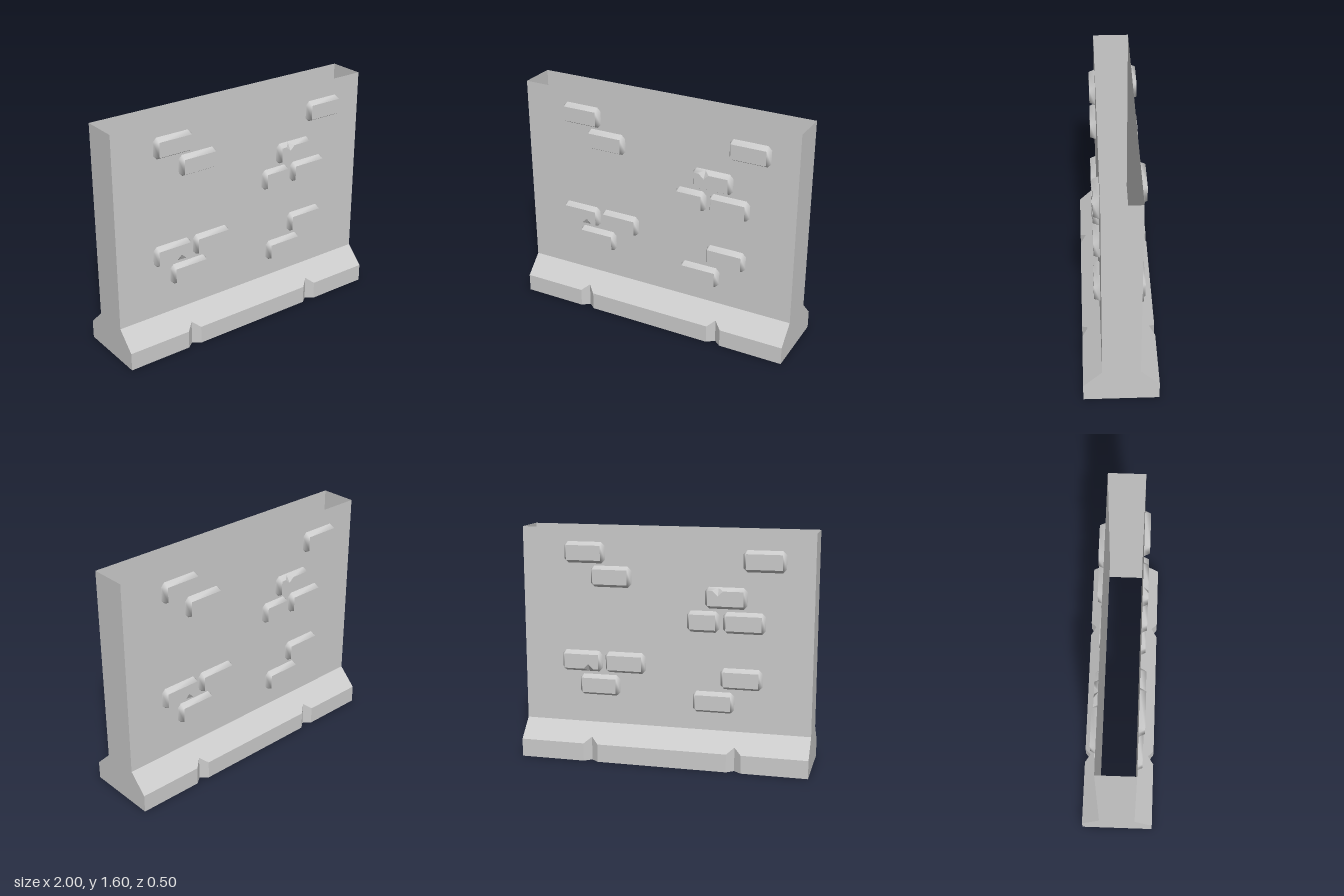
import * as THREE from 'three';

const WALL_Z = 0.125, FOOT_Z = 0.25, FOOT_Y = 0.125, SHOULDER_Y = 0.25, TOP_Y = 1.6;
const GROOVE = 0.04; // depth of the V grooves in the foot
const BEVEL = 0.022, RISE = 0.04; // brick bevel inset and height

const smooth = new THREE.MeshStandardMaterial({ color: 0xcccccc, side: THREE.DoubleSide });
const flat = new THREE.MeshStandardMaterial({ color: 0xcccccc, side: THREE.DoubleSide, flatShading: true });

function mesh(name, geometry, material) {
  const m = new THREE.Mesh(geometry, material);
  m.name = name;
  return m;
}

// Indexed geometry from points and convex polygons (fanned into triangles)
function fromPolygons(points, polygons) {
  const index = [];
  for (const p of polygons)
    for (let i = 1; i < p.length - 1; i++) index.push(p[0], p[i], p[i + 1]);
  const g = new THREE.BufferGeometry();
  g.setAttribute('position', new THREE.Float32BufferAttribute(points.flat(), 3));
  g.setIndex(index);
  g.computeVertexNormals();
  return g;
}

// Wall panel with its sloped foot: one column per x, pulled in at each groove
function panelGeometry() {
  const columns = [-1, -0.55, -0.5, -0.45, 0.45, 0.5, 0.55, 1];
  const points = [], polygons = [];
  columns.forEach((x, i) => {
    const d = Math.abs(x) === 0.5 ? GROOVE : 0;
    points.push([x, 0, FOOT_Z - d], [x, FOOT_Y + d, FOOT_Z - d], [x, SHOULDER_Y, WALL_Z], [x, TOP_Y, WALL_Z]);
    if (i === 0) return;
    for (let r = 0; r < 3; r++) {
      const a = (i - 1) * 4 + r, b = i * 4 + r;
      polygons.push([a, b, b + 1, a + 1]);
    }
  });
  return fromPolygons(points, polygons).toNonIndexed();
}

// End cap following the wall's cross-section
function endGeometry() {
  const half = [[FOOT_Z, 0], [FOOT_Z, FOOT_Y], [WALL_Z, SHOULDER_Y], [WALL_Z, TOP_Y]];
  const outline = [...half, ...half.map(([z, y]) => [-z, y]).reverse()];
  return new THREE.ShapeGeometry(new THREE.Shape(outline.map(([z, y]) => new THREE.Vector2(z, y))));
}

// Raised brick with bevelled sides, cut corners and an optional chip in its upper edge
function makeBrick(w, h, chipped) {
  const brick = new THREE.Group();
  brick.name = 'brick';
  const X = w / 2, Y = h / 2, c = 0.026, x = X - BEVEL, y = Y - BEVEL;
  const chipX = -0.05, chipW = 0.035;
  const left = [chipX - chipW, y, RISE], right = [chipX + chipW, y, RISE];
  const low = [chipX, y - 0.033, RISE], apex = [chipX, Y - BEVEL * 0.2, RISE * 0.2];

  // 0-7 cut-corner foot, 8-11 face corners, 12-14 chip
  const points = [
    [X - c, Y, 0], [-X + c, Y, 0], [-X, Y - c, 0], [-X, -Y + c, 0],
    [-X + c, -Y, 0], [X - c, -Y, 0], [X, -Y + c, 0], [X, Y - c, 0],
    [x, y, RISE], [-x, y, RISE], [-x, -y, RISE], [x, -y, RISE],
  ];
  const sides = [
    [1, 2, 9], [2, 3, 10, 9], [3, 4, 10], [4, 5, 11, 10],
    [5, 6, 11], [6, 7, 8, 11], [7, 0, 8],
  ];
  const face = [[x, y], [-x, y], [-x, -y], [x, -y]];
  if (chipped) {
    points.push(left, right, apex);
    sides.push([0, 1, 14], [0, 14, 13, 8], [14, 1, 9, 12]);
    face.splice(1, 0, right, low, left);
    brick.add(mesh('chip', fromPolygons([left, low, apex, right], [[0, 1, 2], [2, 1, 3]]).toNonIndexed(), flat));
  } else sides.push([0, 1, 9, 8]);
  brick.add(mesh('brickSides', fromPolygons(points, sides), smooth));

  const faceShape = new THREE.Shape(face.map(([px, py]) => new THREE.Vector2(px, py)));
  brick.add(mesh('brickFace', new THREE.ShapeGeometry(faceShape).translate(0, 0, RISE), smooth));
  return brick;
}

// Brick centres: x, y, chip (1 = upper edge, -1 = lower edge), width
const BRICKS = [
  [-0.56, 1.435], [-0.375, 1.275], [0.67, 1.41],
  [0.417, 1.16, 1], [0.262, 0.997, 0, 0.22], [0.54, 0.997],
  [-0.585, 0.685, -1], [-0.278, 0.685], [-0.46, 0.52],
  [0.525, 0.615], [0.337, 0.447],
];

function makeSide(name) {
  const side = new THREE.Group();
  side.name = name;
  side.add(mesh('wallPanel', panelGeometry(), flat));
  for (const [x, y, chip = 0, w = 0.285] of BRICKS) {
    const brick = makeBrick(w, 0.145, chip !== 0);
    brick.position.set(x, y, WALL_Z);
    if (chip < 0) brick.rotation.z = Math.PI;
    side.add(brick);
  }
  return side;
}

export function createModel() {
  const model = new THREE.Group();
  model.name = 'brickWall';

  // The back is the front turned half round; top and bottom stay open
  const back = makeSide('backSide');
  back.rotation.y = Math.PI;
  model.add(makeSide('frontSide'), back);

  for (const s of [1, -1]) {
    const end = mesh(s > 0 ? 'leftEnd' : 'rightEnd', endGeometry(), flat);
    end.position.x = s;
    end.rotation.y = s * Math.PI / 2;
    model.add(end);
  }
  return model;
}
